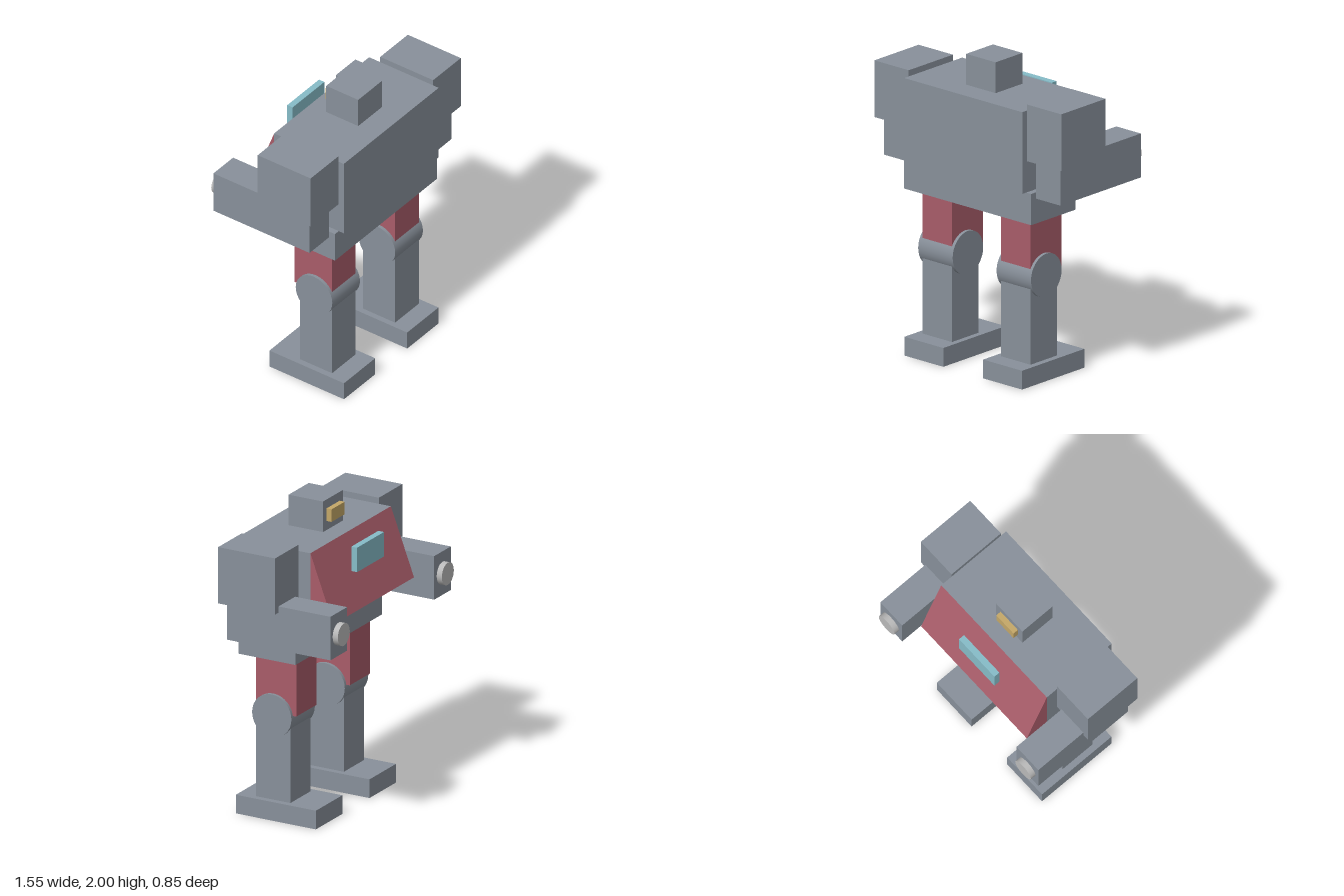
import * as THREE from 'three';

const material = (name, color) => {
  const m = new THREE.MeshStandardMaterial({ color });
  m.name = name;
  return m;
};

export function createModel() {
  const model = new THREE.Group();
  model.name = 'robot';
  const grey = material('grey armour', 0x88909a);
  const red = material('red panels', 0xa85c69);
  const cyan = material('cyan plate', 0x86bcc8);
  const gold = material('gold visor', 0xc4a768);
  const silver = material('silver muzzle', 0xbababa);

  const add = (name, geometry, mat, parent = model) => {
    const mesh = new THREE.Mesh(geometry, mat);
    mesh.name = name;
    parent.add(mesh);
    return mesh;
  };
  // Box given by its limits on each axis
  const box = (name, mat, [x0, x1], [y0, y1], [z0, z1], parent) =>
    add(name, new THREE.BoxGeometry(x1 - x0, y1 - y0, z1 - z0), mat, parent)
      .position.set((x0 + x1) / 2, (y0 + y1) / 2, (z0 + z1) / 2);

  // Body and head
  box('torso', grey, [-0.49, 0.49], [1.27, 1.8], [-0.105, 0.427]);
  box('waist', grey, [-0.527, 0.527], [1.065, 1.268], [-0.02, 0.387]);
  box('head', grey, [-0.122, 0.122], [1.8, 2], [0.02, 0.265]);
  box('visor', gold, [-0.08, 0.08], [1.86, 1.942], [-0.016, 0.02]);
  box('chestPlate', cyan, [-0.164, 0.164], [1.6, 1.76], [-0.247, -0.206]);

  // Sloping chest: triangular profile in z and y, extruded along x
  const profile = new THREE.Shape([
    new THREE.Vector2(0.105, 1.8),
    new THREE.Vector2(0.105, 1.365),
    new THREE.Vector2(0.27, 1.365),
  ]);
  const wedge = new THREE.ExtrudeGeometry(profile, { depth: 0.98, bevelEnabled: false });
  wedge.translate(0, 0, -0.49).rotateY(Math.PI / 2);
  add('chestWedge', wedge, red);

  // Arms and legs, one set on each side
  for (const side of [1, -1]) {
    const label = side > 0 ? 'left' : 'right';
    const span = (a, b) => (side > 0 ? [a, b] : [-b, -a]);

    const arm = new THREE.Group();
    arm.name = label + 'Arm';
    box('shoulder', grey, span(0.49, 0.775), [1.472, 1.84], [-0.02, 0.385], arm);
    box('forearm', grey, span(0.53, 0.733), [1.228, 1.513], [-0.39, 0.345], arm);
    const muzzle = new THREE.CylinderGeometry(0.073, 0.073, 0.06, 24).rotateX(Math.PI / 2);
    add('muzzle', muzzle, silver, arm).position.set(side * 0.633, 1.372, -0.397);

    const leg = new THREE.Group();
    leg.name = label + 'Leg';
    box('thigh', red, span(0.203, 0.448), [0.695, 1.065], [0.02, 0.306], leg);
    box('shin', grey, span(0.203, 0.448), [0.12, 0.68], [0.062, 0.306], leg);
    const knee = new THREE.CylinderGeometry(0.14, 0.14, 0.286, 32).rotateZ(Math.PI / 2);
    add('knee', knee, grey, leg).position.set(side * 0.325, 0.677, 0.183);
    box('foot', grey, span(0.165, 0.488), [0, 0.122], [-0.143, 0.427], leg);

    model.add(arm, leg);
  }
  return model;
}
